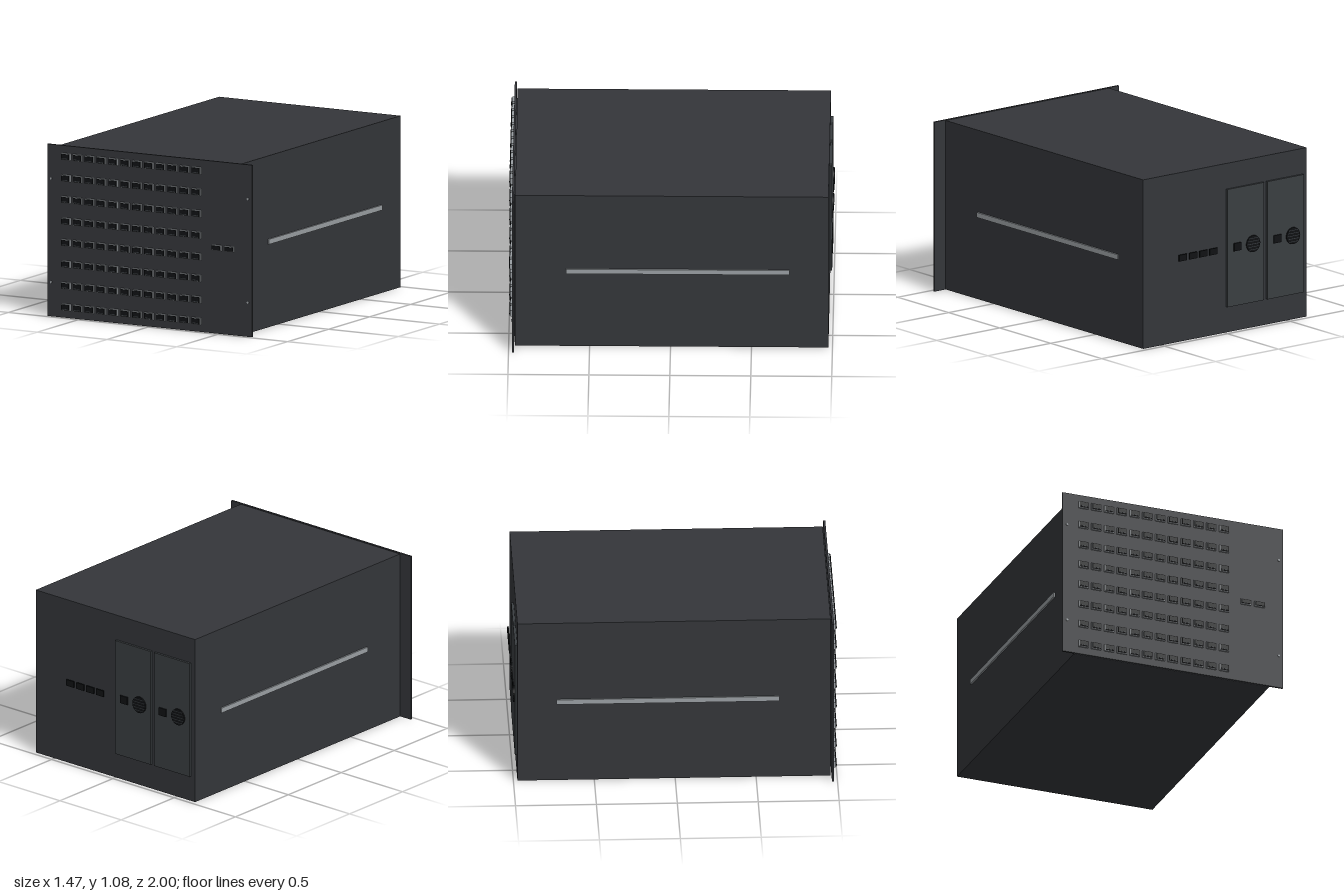
import * as THREE from 'three';

const mat = (color) => new THREE.MeshStandardMaterial({ color });

export function createModel() {
  const model = new THREE.Group();
  const shell = mat(0x34363a), black = mat(0x101214), steel = mat(0x9a9fa3);
  const unit = mat(0x3a3e41), slot = mat(0x3c4145);

  const add = (parent, name, geometry, material, x, y, z) => {
    const mesh = new THREE.Mesh(geometry, material);
    mesh.name = name;
    mesh.position.set(x, y, z);
    parent.add(mesh);
    return mesh;
  };
  // box spanning z0 to z1, centred on x and y
  const box = (parent, name, material, x, y, w, h, z0, z1) =>
    add(parent, name, new THREE.BoxGeometry(w, h, z1 - z0), material, x, y, (z0 + z1) / 2);
  const group = (name) => {
    const g = new THREE.Group();
    g.name = name;
    model.add(g);
    return g;
  };

  // Chassis and wider front panel
  box(model, 'chassis', shell, 0, 0.54, 1.3, 1.076, -0.975, 0.96);
  box(model, 'frontPanel', shell, 0, 0.54, 1.466, 1.08, 0.966, 0.979);
  box(model, 'panelSpacer', shell, 0, 0.54, 1.2, 1.0, 0.96, 0.966);

  // Side rails
  for (const side of [-1, 1])
    box(model, 'sideRail', steel, side * 0.653, 0.54, 0.014, 0.032, -0.735, 0.645);

  // Panel screws
  for (const x of [-0.705, 0.705])
    for (const y of [0.215, 0.865])
      add(model, 'panelScrew', new THREE.CylinderGeometry(0.007, 0.007, 0.008, 16), steel, x, y, 0.981)
        .rotation.x = Math.PI / 2;

  // Framed socket with a dark opening and a contact strip
  const port = (parent, x, y, w, h) => {
    box(parent, 'portFrame', steel, x, y, w, h, 0.979, 0.992);
    box(parent, 'portOpening', black, x, y, w - 0.009, h - 0.009, 0.98, 0.998);
    if (h > 0.04) box(parent, 'portContact', slot, x, y - h * 0.25, w * 0.64, 0.004, 0.99, 1);
  };
  const ports = group('portGrid');
  for (let row = 0; row < 8; row++)
    for (let col = 0; col < 12; col++)
      port(ports, -0.597 + col * 0.085, 0.067 + row * 0.135, 0.064, 0.043);
  const uplinks = group('uplinkPorts');
  for (const x of [0.483, 0.575]) port(uplinks, x, 0.54, 0.068, 0.034);

  // Rear power units, each with a fan and a power inlet
  for (const x of [-0.472, -0.155]) {
    const power = group('powerUnit');
    box(power, 'powerUnitPlate', unit, x, 0.54, 0.29, 0.75, -0.99, -0.975);
    box(power, 'powerInlet', black, x + 0.07, 0.54, 0.058, 0.05, -0.998, -0.989);
    const fx = x - 0.055, r = 0.053;
    add(power, 'fan', new THREE.CylinderGeometry(r, r, 0.009, 32), black, fx, 0.54, -0.9935)
      .rotation.x = Math.PI / 2;
    for (let i = -2; i <= 2; i++) {
      const dy = i * 0.018;
      box(power, 'fanGrilleBar', slot, fx, 0.54 + dy, 1.9 * Math.sqrt(r * r - dy * dy), 0.004, -1, -0.997);
    }
  }

  // Rear management sockets
  const rear = group('rearPorts');
  for (let i = 0; i < 4; i++)
    box(rear, 'rearPort', black, 0.108 + i * 0.081, 0.54, 0.06, 0.04, -1, -0.991);

  return model;
}
